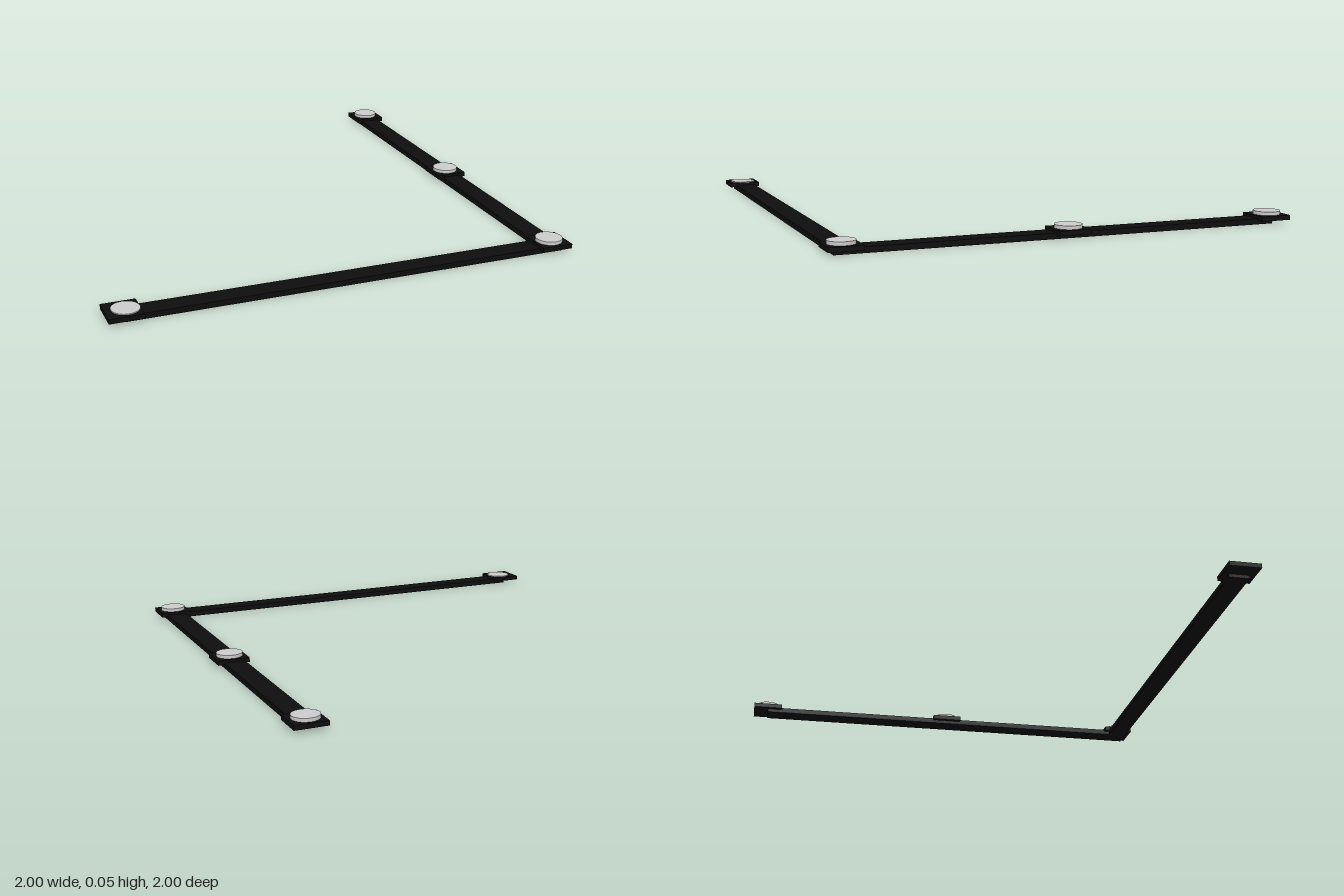
import * as THREE from 'three';

export function createModel() {
  const group = new THREE.Group();
  const black = new THREE.MeshStandardMaterial({ color: 0x0d0d0d });
  const grey = new THREE.MeshStandardMaterial({ color: 0xcccccc });

  function box(name, x0, x1, y0, y1, z0, z1) {
    const mesh = new THREE.Mesh(new THREE.BoxGeometry(x1 - x0, y1 - y0, z1 - z0), black);
    mesh.position.set((x0 + x1) / 2, (y0 + y1) / 2, (z0 + z1) / 2);
    mesh.name = name;
    group.add(mesh);
  }

  // Two flat rails meeting in an L, butted at the corner
  box('frontRail', -0.93, 0.882, 0, 0.024, 0.884, 0.973);
  box('sideRail', 0.882, 0.973, 0, 0.024, -0.93, 0.973);

  // Square mounting pads, each carrying a round disc
  // [name, pad x, pad z, disc x, disc top]
  const stations = [
    ['frontRight', -0.93, 0.93, -0.918, 0.039],
    ['corner', 0.93, 0.93, 0.928, 0.05],
    ['middle', 0.93, 0, 0.928, 0.05],
    ['backLeft', 0.93, -0.93, 0.928, 0.05],
  ];
  const half = 0.07, padBottom = 0.015, padTop = 0.035;
  for (const [name, x, z, discX, discTop] of stations) {
    box(name + 'Pad', x - half, x + half, padBottom, padTop, z - half, z + half);
    const height = discTop - padTop + 0.004;
    const disc = new THREE.Mesh(new THREE.CylinderGeometry(0.057, 0.057, height, 48), grey);
    disc.position.set(discX, discTop - height / 2, z);
    disc.name = name + 'Disc';
    group.add(disc);
  }

  return group;
}
